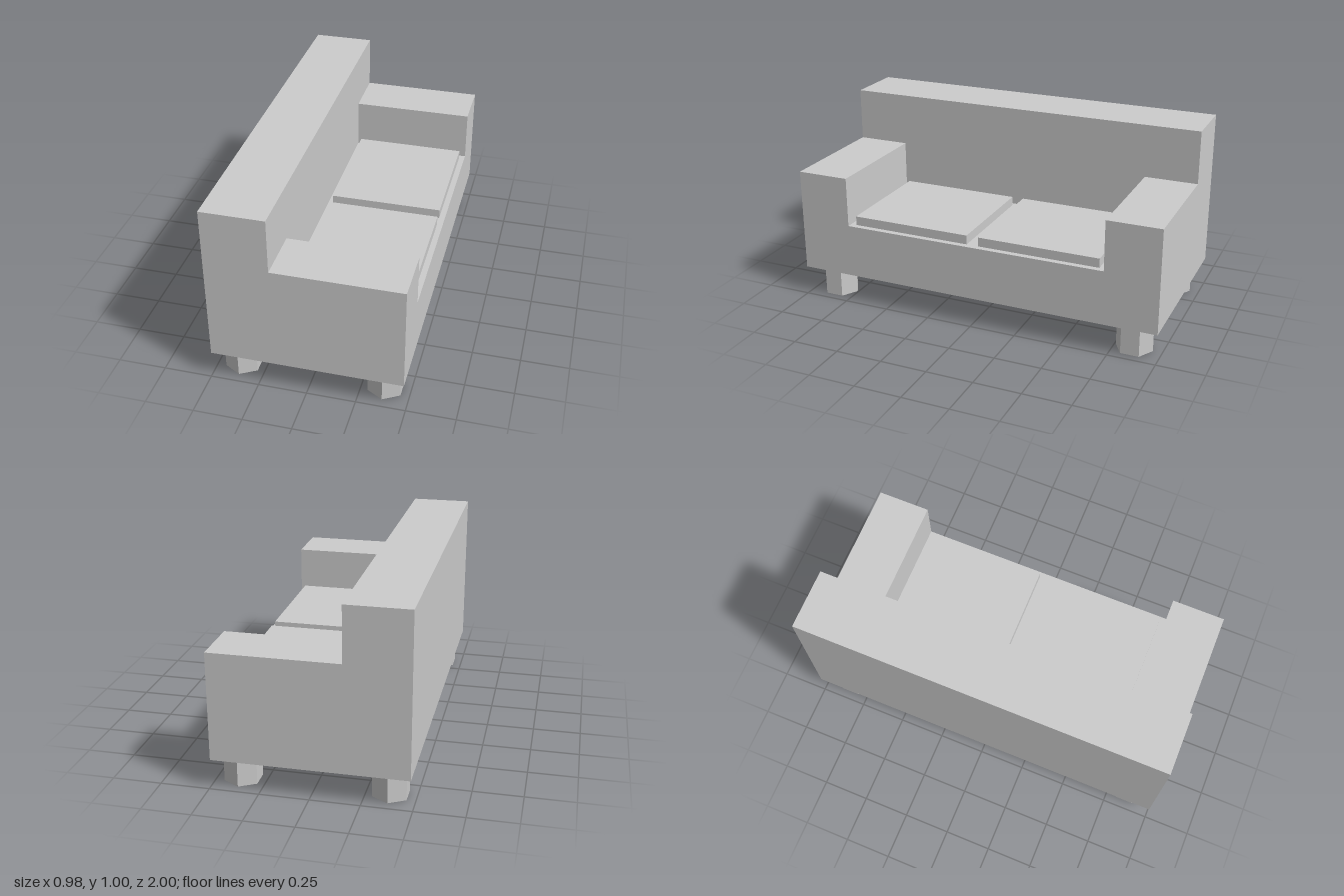
import * as THREE from 'three';

export function createModel() {
  const sofa = new THREE.Group();
  sofa.name = 'sofa';
  const material = new THREE.MeshStandardMaterial({ color: 0xcccccc, flatShading: true });

  function add(name, geometry, x = 0, y = 0, z = 0) {
    const mesh = new THREE.Mesh(geometry, material);
    mesh.name = name;
    mesh.position.set(x, y, z);
    sofa.add(mesh);
    return mesh;
  }

  // Main levels of the body
  const bottom = 0.158, seatY = 0.447, armY = 0.715, topY = 1;
  const backX = -0.489, seatBackX = -0.165, frontX = 0.489;
  const armInner = 0.716;

  // Tall backrest along the whole length
  add('backrest',
    new THREE.BoxGeometry(seatBackX - backX, topY - bottom, 2),
    (backX + seatBackX) / 2, (bottom + topY) / 2, 0);

  // Seat base and both arms: one U-shaped section extruded towards the front
  const section = new THREE.Shape([
    [-1, bottom], [1, bottom], [1, armY], [armInner, armY],
    [armInner, seatY], [-armInner, seatY], [-armInner, armY], [-1, armY],
  ].map(([u, v]) => new THREE.Vector2(u, v)));
  const seat = new THREE.ExtrudeGeometry(section, { depth: frontX - seatBackX, bevelEnabled: false });
  seat.rotateY(Math.PI / 2);
  add('seatAndArms', seat, seatBackX, 0, 0);

  for (const side of [1, -1]) {
    const label = side > 0 ? 'Left' : 'Right';

    // Thin seat cushion
    add('cushion' + label, new THREE.BoxGeometry(0.597, 0.049, 0.652),
      0.16, seatY + 0.0245, side * 0.358);

    // Hexagonal legs
    for (const end of [1, -1]) {
      add('leg' + (end > 0 ? 'Front' : 'Back') + label,
        new THREE.CylinderGeometry(0.097, 0.097, bottom, 6),
        end * 0.371, bottom / 2, side * 0.854);
    }
  }
  return sofa;
}
